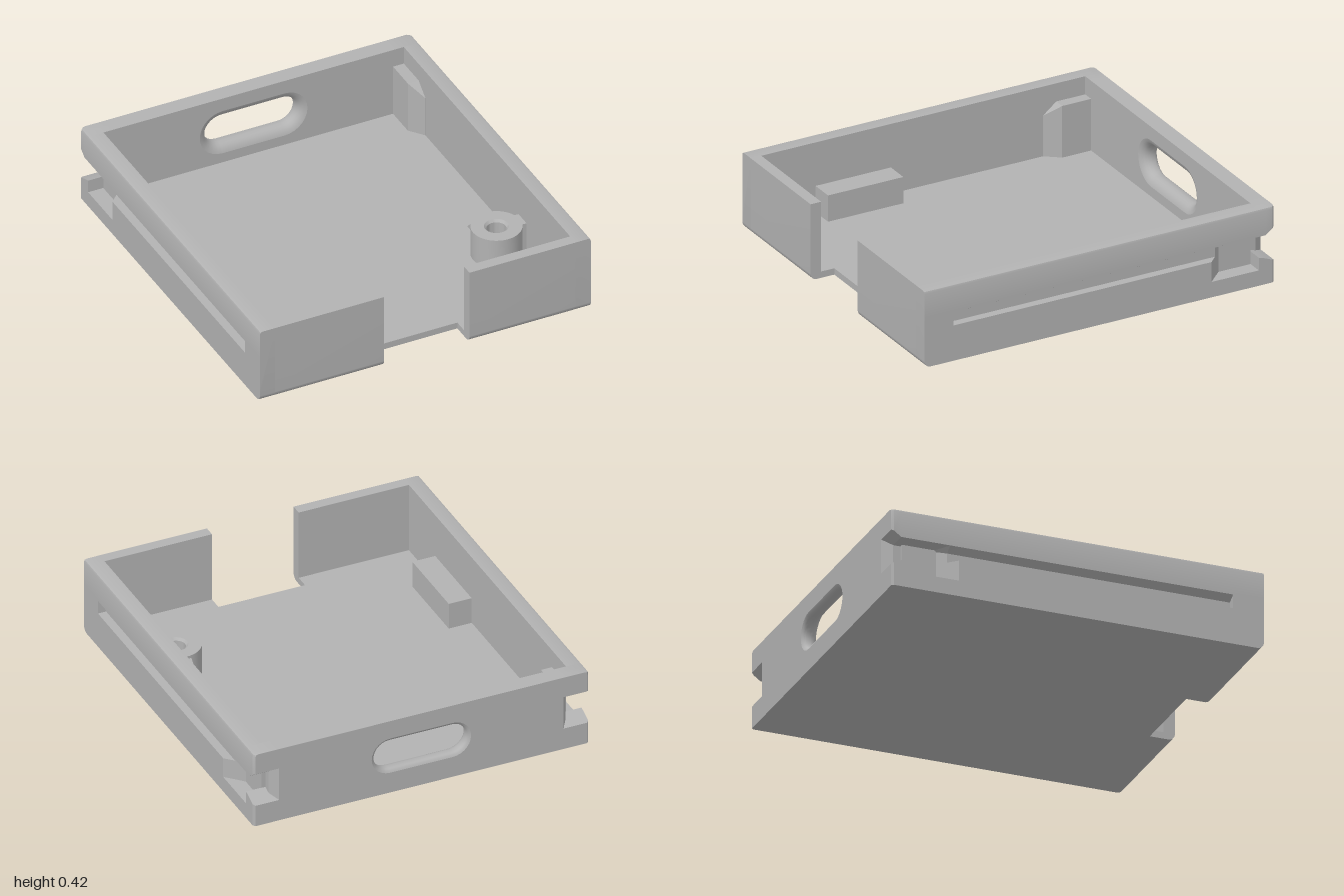
import * as THREE from 'three';
import { toCreasedNormals } from 'three/addons/utils/BufferGeometryUtils.js';

const V2 = (x, y) => new THREE.Vector2(x, y);

// Skin through rings [{ z, pts: [[x, y], ...] }], z falling, points anticlockwise seen from +z.
function loft(rings, capped = true, side = 1) {
  const pos = [];
  const rs = rings.map(r => {
    const p = r.pts.map(([x, y]) => [x * side, y, r.z]);
    return side < 0 ? p.reverse() : p;
  });
  const n = rs[0].length;
  for (let k = 0; k < rs.length - 1; k++) {
    for (let i = 0; i < n; i++) {
      const j = (i + 1) % n;
      const a = rs[k][i], b = rs[k][j], c = rs[k + 1][j], d = rs[k + 1][i];
      pos.push(...a, ...d, ...c, ...a, ...c, ...b);
    }
  }
  if (capped) {
    const cap = (r, flip) => {
      for (const t of THREE.ShapeUtils.triangulateShape(r.map(p => V2(p[0], p[1])), [])) {
        const [a, b, c] = flip ? [t[2], t[1], t[0]] : t;
        pos.push(...r[a], ...r[b], ...r[c]);
      }
    };
    cap(rs[0], false);
    cap(rs[rs.length - 1], true);
  }
  const g = new THREE.BufferGeometry();
  g.setAttribute('position', new THREE.Float32BufferAttribute(pos, 3));
  return toCreasedNormals(g, 0.6);
}

// Profile in (z, y) swept along x from x0 to x1
function sweepX(shape, x0, x1) {
  const g = new THREE.ExtrudeGeometry(shape, { depth: x1 - x0, bevelEnabled: false, curveSegments: 8 });
  return toCreasedNormals(g.rotateY(-Math.PI / 2).translate(x1, 0, 0), 0.6);
}

// Stadium outline of the handle opening, anticlockwise
function stadium(grow) {
  const r = 0.0825 + grow, pts = [];
  for (const [cx, start] of [[0.172, -Math.PI / 2], [-0.172, Math.PI / 2]]) {
    for (let i = 0; i <= 14; i++) {
      const a = start + Math.PI * i / 14;
      pts.push([cx + r * Math.cos(a), 0.217 + r * Math.sin(a)]);
    }
  }
  return pts;
}

// Side wall section: p = lower pocket depth, g = groove depth
function wallRing({ z, base = 0, p = 0, g = 0, floor = 0.085, inTop = 0.245, outTop = 0.27, inner = 0.835, X = 0.92 }) {
  return { z, pts: [
    [inner, base], [X, base], [X, floor], [0.92 - Math.max(p, 0.92 - X), floor],
    [0.92 - Math.max(p, 0.92 - X), 0.195], [0.92 - Math.max(g, 0.92 - X), 0.195],
    [0.92 - Math.max(g, 0.92 - X), inTop], [X, outTop],
    [X, 0.405], [X - 0.004, 0.416], [X - 0.015, 0.42], [inner, 0.42],
  ] };
}

export function createModel() {
  const model = new THREE.Group();
  const grey = new THREE.MeshStandardMaterial({ color: 0xb2b2b2 });
  grey.name = 'grey plastic';
  const add = (name, geo, parent = model) => {
    const m = new THREE.Mesh(geo, grey);
    m.name = name;
    parent.add(m);
    return m;
  };

  // Floor with the front cut-out
  const plan = new THREE.Shape([
    [-0.835, 0.91], [-0.835, -0.945], [-0.23, -0.945], [-0.23, -0.865],
    [0.245, -0.865], [0.245, -0.945], [0.835, -0.945], [0.835, 0.91],
  ].map(([x, y]) => V2(x, y)));
  add('floor', new THREE.ExtrudeGeometry(plan, { depth: 0.035, bevelEnabled: false }).rotateX(-Math.PI / 2));

  // Front walls, rounded along the bottom edge
  const front = new THREE.Shape();
  front.moveTo(0.94, 0);
  front.lineTo(0.965, 0);
  front.absarc(0.965, 0.035, 0.035, -Math.PI / 2, 0, false);
  front.lineTo(1, 0.42);
  front.lineTo(0.94, 0.42);
  add('frontWallRight', sweepX(front, -0.835, -0.23));
  add('frontWallLeft', sweepX(front, 0.245, 0.835));

  // Side walls: rounded front foot, long groove, then a latch pocket open to the back
  const rings = [];
  for (let i = 0; i <= 6; i++) {
    const a = Math.PI / 2 * i / 6;
    rings.push({ z: 0.965 + 0.035 * Math.cos(a), base: 0.035 - 0.035 * Math.sin(a) });
  }
  const deep = { p: 0.105, g: 0.105, inTop: 0.27 };
  rings.push(
    { z: 0.835 },
    { z: 0.835, g: 0.045 },
    { z: -0.64, g: 0.045 },
    { z: -0.685, p: 0.045, g: 0.045 },
    { z: -0.75, ...deep },
    { z: -0.91, ...deep },
    { z: -0.91, ...deep, floor: 0.155, inner: 0.775 },
    { z: -0.95, ...deep, floor: 0.142, inner: 0.775 },
    { z: -0.988, p: 0.132, g: 0.132, inTop: 0.298, outTop: 0.298, floor: 0.125, inner: 0.775 },
    { z: -1, p: 0.14, g: 0.14, inTop: 0.306, outTop: 0.306, floor: 0.12, inner: 0.775, X: 0.91 },
  );
  // Inner columns that back the latch pockets
  const post = (z, x, top) => ({ z, pts: [[x, 0.03], [0.836, 0.03], [0.836, top], [x, top]] });
  const posts = [post(-0.67, 0.834, 0.26), post(-0.745, 0.775, 0.32), post(-0.911, 0.775, 0.32)];
  for (const [label, s] of [['Left', 1], ['Right', -1]]) {
    add('sideWall' + label, loft(rings.map(wallRing), true, s));
    add('cornerColumn' + label, loft(posts, true, s));
  }

  // Back wall with a flared handle opening
  const back = new THREE.Group();
  back.name = 'backWall';
  model.add(back);
  const face = grow => {
    const s = new THREE.Shape([V2(-0.775, 0), V2(0.775, 0), V2(0.775, 0.42), V2(-0.775, 0.42)]);
    s.holes.push(new THREE.Path(stadium(grow).map(([x, y]) => V2(x, y))));
    return new THREE.ShapeGeometry(s);
  };
  add('backWallInside', face(0.045).translate(0, 0, -0.91), back);
  add('backWallOutside', face(0.018).rotateY(Math.PI).translate(0, 0, -1), back);
  add('backWallTop', new THREE.PlaneGeometry(1.55, 0.09).rotateX(-Math.PI / 2).translate(0, 0.42, -0.955), back);
  add('backWallBottom', new THREE.PlaneGeometry(1.55, 0.09).rotateX(Math.PI / 2).translate(0, 0, -0.955), back);
  const tunnel = [[-0.91, 0.045], [-0.915, 0.03], [-0.927, 0.014], [-0.94, 0.005], [-0.957, 0],
    [-0.98, 0], [-0.988, 0.003], [-0.995, 0.009], [-1, 0.018]];
  add('handleOpening', loft(tunnel.map(([z, g]) => ({ z, pts: stadium(g).reverse() })), false), back);

  // Support block by the right wall
  add('supportBlock', new THREE.BoxGeometry(0.127, 0.15, 0.43).translate(-0.7725, 0.105, 0.415));

  // Screw boss with a sloped fin and a web to the wall
  const boss = new THREE.Group();
  boss.name = 'screwBoss';
  model.add(boss);
  const profile = [[0.13, 0.03], [0.13, 0.2], [0.062, 0.2], [0.05, 0.187], [0.05, 0.035]].map(([x, y]) => V2(x, y));
  add('bossTube', toCreasedNormals(new THREE.LatheGeometry(profile, 40), 0.5).translate(0.69, 0, 0.41), boss);
  const fin = new THREE.Shape([V2(0.13, 0.03), V2(0.3, 0.03), V2(0.3, 0.185), V2(0.28, 0.185)]);
  add('bossFin', sweepX(fin, 0.665, 0.715), boss);
  add('bossWeb', new THREE.BoxGeometry(0.05, 0.169, 0.09).translate(0.811, 0.1145, 0.41), boss);

  return model;
}
